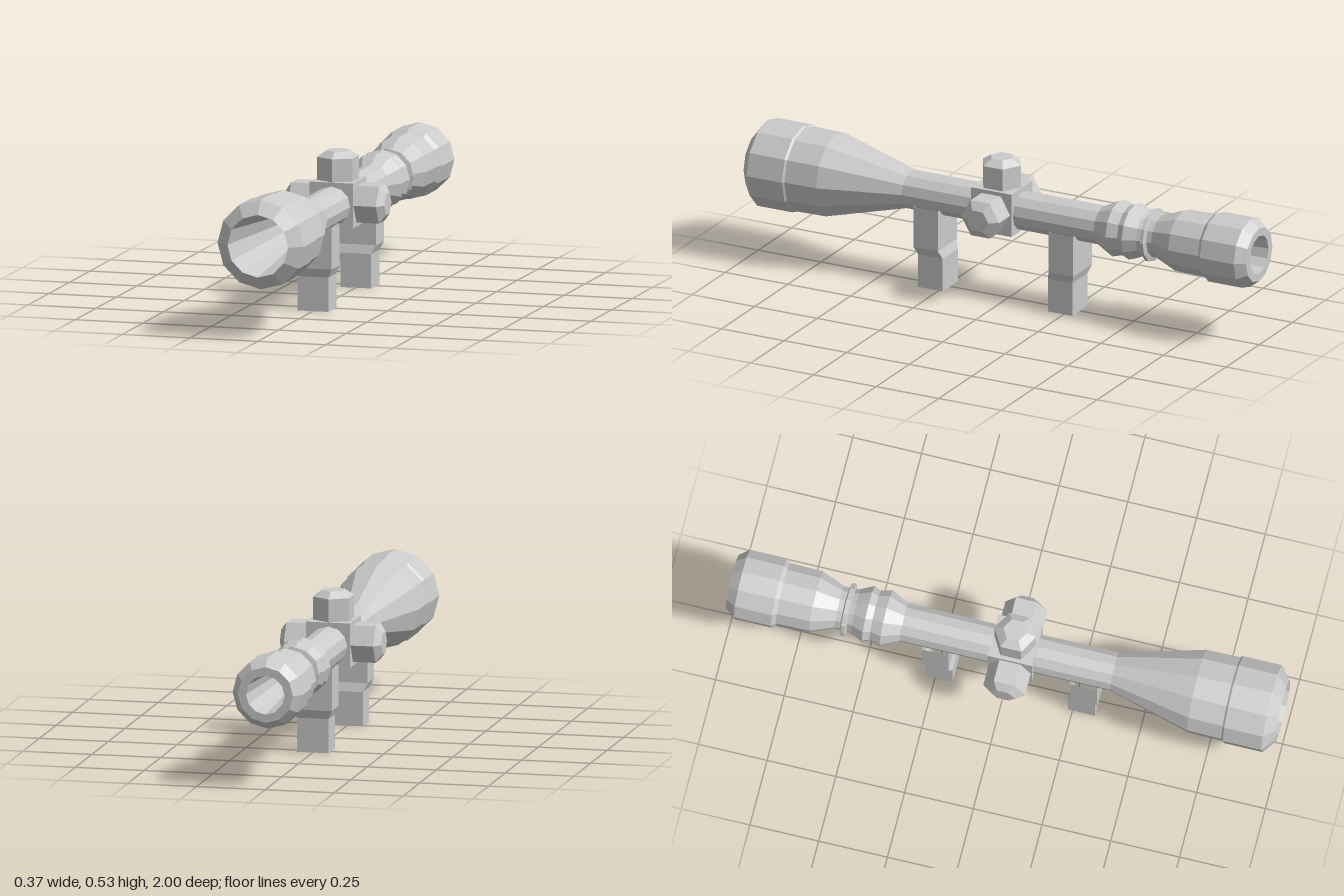
import * as THREE from 'three';

const AXIS_Y = 0.34; // height of the optical axis
const TURRET_Z = 0.028;

function material(side = THREE.FrontSide) {
  return new THREE.MeshStandardMaterial({ color: 0xcccccc, flatShading: true, side });
}

function lathe(points, sides) {
  return new THREE.LatheGeometry(points.map(([r, y]) => new THREE.Vector2(r, y)), sides);
}

function add(parent, name, geometry, mat = material()) {
  const mesh = new THREE.Mesh(geometry, mat);
  mesh.name = name;
  parent.add(mesh);
  return mesh;
}

// Open rectangular sleeve through cross-sections [y, halfWidth, zBack, zFront], bottom to top
function sleeve(sections) {
  const positions = [];
  const index = [];
  sections.forEach(([y, w, z0, z1]) => {
    positions.push(-w, y, z1, w, y, z1, w, y, z0, -w, y, z0);
  });
  for (let s = 0; s < sections.length - 1; s++) {
    for (let i = 0; i < 4; i++) {
      const a = s * 4 + i;
      const b = s * 4 + ((i + 1) % 4);
      index.push(a, b, b + 4, a, b + 4, a + 4);
    }
  }
  const geometry = new THREE.BufferGeometry();
  geometry.setAttribute('position', new THREE.Float32BufferAttribute(positions, 3));
  geometry.setIndex(index);
  geometry.computeVertexNormals();
  return geometry;
}

export function createModel() {
  const model = new THREE.Group();
  model.name = 'scope';

  // Hollow body: outer profile from eyepiece to objective, then back through the bore
  const profile = [
    [0.07, -1], [0.1, -1], [0.127, -0.965], [0.127, -0.83], [0.114, -0.815],
    [0.112, -0.695], [0.078, -0.61], [0.078, -0.59],
    [0.096, -0.585], [0.096, -0.572], [0.078, -0.567],
    [0.082, -0.55], [0.103, -0.505], [0.092, -0.48], [0.103, -0.44], [0.07, -0.375],
    [0.07, 0.39], [0.152, 0.69], [0.154, 0.815], [0.16, 0.822], [0.16, 0.962],
    [0.112, 1], [0.07, 0.6], [0.046, 0.3], [0.046, -0.6], [0.07, -1],
  ];
  const body = add(model, 'tubeBody', lathe(profile, 12).rotateX(Math.PI / 2));
  body.position.y = AXIS_Y;

  // Turret block with three hexagonal adjustment knobs
  const turret = new THREE.Group();
  turret.name = 'turret';
  turret.position.set(0, AXIS_Y + 0.004, TURRET_Z);
  model.add(turret);
  add(turret, 'turretBlock', new THREE.BoxGeometry(0.16, 0.16, 0.162));

  const knob = lathe([[0.076, 0.07], [0.076, 0.162], [0.043, 0.184], [0, 0.184]], 6);
  add(turret, 'topKnob', knob);
  add(turret, 'leftKnob', knob).rotation.z = -Math.PI / 2;
  add(turret, 'rightKnob', knob).rotation.z = Math.PI / 2;

  // Mounting feet, open at the bottom, stepped inward below the tube
  const mounts = [
    ['frontMount', 0.294, -0.011],
    ['rearMount', -0.246, 0.011],
  ];
  for (const [name, z, shift] of mounts) {
    const h = 0.049;
    const zl = z + shift;
    add(model, name, sleeve([
      [0, 0.057, zl - h, zl + h],
      [0.123, 0.057, zl - h, zl + h],
      [0.154, 0.072, z - h, z + h],
      [0.305, 0.072, z - h, z + h],
    ]), material(THREE.DoubleSide));
  }

  return model;
}
